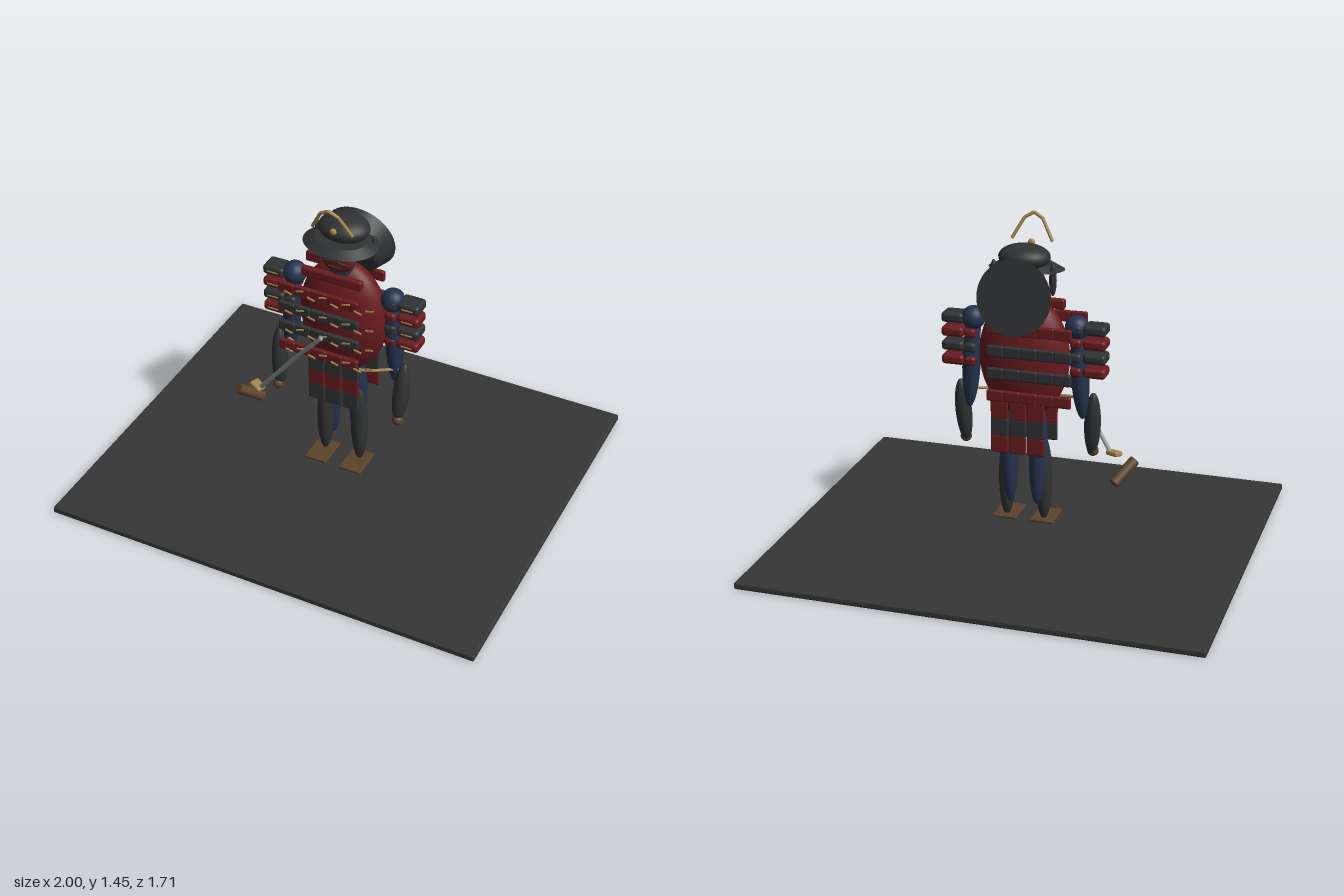
import * as THREE from 'three';
import { RoundedBoxGeometry } from 'three/addons/geometries/RoundedBoxGeometry.js';

const mat = (name, color, side = THREE.FrontSide) => {
  const m = new THREE.MeshStandardMaterial({ color, side });
  m.name = name;
  return m;
};
const V = (x, y, z) => new THREE.Vector3(x, y, z);

export function createModel() {
  const model = new THREE.Group();
  model.name = 'armouredWarrior';
  const stone = mat('stone', 0x363636);
  const iron = mat('darkIron', 0x303233);
  const red = mat('redLacquer', 0x6a1b1f);
  const navy = mat('navyCloth', 0x26334e);
  const gold = mat('gold', 0xa88a50);
  const brown = mat('brownLeather', 0x5c432a);
  const skin = mat('skin', 0xbd9a6c);
  const steel = mat('steel', 0x95979a);

  const add = (name, geo, m, x = 0, y = 0, z = 0) => {
    const mesh = new THREE.Mesh(geo, m);
    mesh.name = name;
    mesh.position.set(x, y, z);
    model.add(mesh);
    return mesh;
  };
  const ball = (name, m, x, y, z, rx, ry = rx, rz = rx) => {
    const mesh = add(name, new THREE.SphereGeometry(1, 32, 20), m, x, y, z);
    mesh.scale.set(rx, ry, rz);
    return mesh;
  };
  const plate = (name, m, w, h, d, x, y, z) =>
    add(name, new RoundedBoxGeometry(w, h, d, 3, Math.min(w, h, d) * 0.35), m, x, y, z);
  // Turns a mesh's own y axis along the line from a to b
  const align = (mesh, a, b) => {
    mesh.position.copy(a).add(b).multiplyScalar(0.5);
    mesh.quaternion.setFromUnitVectors(V(0, 1, 0), b.clone().sub(a).normalize());
    return mesh;
  };
  // Spindle-shaped limb between two tips
  const limb = (name, m, a, b, r) =>
    align(ball(name, m, 0, 0, 0, r, a.distanceTo(b) / 2, r), a, b);
  const rod = (name, m, a, b, r) =>
    align(add(name, new THREE.CylinderGeometry(r, r, a.distanceTo(b), 12), m), a, b);

  // Ground slab
  add('groundSlab', new RoundedBoxGeometry(2, 0.03, 1.71, 2, 0.008), stone, 0, 0.015, 0);

  // Legs and arms
  for (const s of [1, -1]) {
    plate('foot', brown, 0.105, 0.014, 0.15, s * 0.085, 0.093, 0.05);
    limb('shin', iron, V(s * 0.085, 0.09, 0.02), V(s * 0.08, 0.49, 0.02), 0.038);
    limb('thigh', navy, V(s * 0.06, 0.17, -0.01), V(s * 0.07, 0.66, 0), 0.04);
    ball('shoulder', navy, s * 0.23, 0.995, 0.01, 0.052);
    limb('upperArm', navy, V(s * 0.23, 1.02, 0.01), V(s * 0.255, 0.58, 0.02), 0.04);
    limb('forearm', iron, V(s * 0.3, 0.7, 0.03), V(s * 0.285, 0.4, 0.065), 0.036);
    ball('hand', brown, s * 0.29, 0.42, 0.07, 0.025);
    // Shoulder guard of four stacked plates
    for (let i = 0; i < 4; i++) {
      const y = 0.995 - i * 0.063;
      const m = i % 2 ? red : iron;
      plate('shoulderGuardPlate', m, 0.1, 0.045, 0.09, s * 0.315, y, 0.01);
      plate('shoulderGuardInner', m, 0.05, 0.042, 0.1, s * 0.235, y, 0.01);
      add('shoulderLacing', new THREE.BoxGeometry(0.05, 0.005, 0.006), gold, s * 0.315, y, 0.056);
    }
  }

  // Torso and neck
  ball('torso', red, 0, 0.85, 0.005, 0.2, 0.275, 0.108);
  limb('neck', navy, V(0, 1.02, 0.02), V(0, 1.2, 0.02), 0.055);
  plate('collarPlate', red, 0.28, 0.045, 0.03, -0.02, 1.07, 0.075);

  // Rows of armour plates, front and back
  [red, iron, iron, red].forEach((m, row) => {
    const y = 1.0 - row * 0.1;
    for (let i = 0; i < 5; i++) {
      const x = -0.205 + i * 0.074;
      plate('chestPlate', m, 0.076, 0.05, 0.022, x, y, 0.132);
      plate('backPlate', m, 0.076, 0.05, 0.022, x, y, -0.122);
    }
    // Lacing over each row
    for (let i = 0; i < 8; i++) {
      const lace = add('chestLacing', new THREE.BoxGeometry(0.036, 0.006, 0.006), gold,
        -0.19 + i * 0.054, y + 0.012 * (i % 2 ? 1 : -1), 0.15);
      lace.rotation.z = i % 2 ? 0.25 : -0.25;
    }
  });

  // Skirt panels
  for (let c = -1; c <= 1; c++) {
    for (let r = 0; r < 3; r++) {
      const y = 0.628 - r * 0.077;
      plate('frontSkirtPlate', r % 2 ? red : iron, 0.076, 0.082, 0.018, c * 0.081, y, 0.105);
      plate('backSkirtPlate', r % 2 ? iron : red, 0.076, 0.082, 0.018, c * 0.081, y, -0.096);
    }
  }

  // Waist cord
  const cord = new THREE.CatmullRomCurve3([
    V(-0.28, 0.672, 0.03), V(-0.14, 0.65, 0.09), V(0, 0.64, 0.092), V(0.14, 0.65, 0.09), V(0.28, 0.665, 0.03)]);
  add('waistCord', new THREE.TubeGeometry(cord, 32, 0.007, 8), gold);

  // Head and face mask
  ball('head', skin, 0, 1.19, 0.01, 0.07, 0.085, 0.058);
  ball('faceMask', red, 0, 1.163, 0.068, 0.075, 0.058, 0.024);
  for (const s of [1, -1]) {
    rod('maskWhisker', iron, V(s * 0.012, 1.168, 0.093), V(s * 0.06, 1.158, 0.086), 0.004);
    rod('maskBrow', iron, V(s * 0.015, 1.19, 0.09), V(s * 0.05, 1.198, 0.082), 0.004);
  }
  rod('maskMouth', iron, V(-0.03, 1.14, 0.09), V(0.03, 1.14, 0.09), 0.004);

  // Helmet: dome, sloping brim, ear guards and flared neck guard
  ball('helmetDome', iron, 0, 1.287, 0.003, 0.112, 0.054, 0.092);
  const brim = add('helmetBrim', new THREE.CylinderGeometry(0.7, 1, 0.026, 40), iron, 0, 1.242, 0.038);
  brim.scale.set(0.165, 1, 0.12);
  brim.rotation.x = 0.05;
  for (const s of [1, -1]) {
    limb('earGuard', iron, V(s * 0.13, 1.27, -0.015), V(s * 0.13, 1.13, -0.015), 0.016);
  }
  const guard = add('neckGuard', new THREE.CylinderGeometry(0.125, 0.162, 0.092, 48), iron, 0, 1.14, -0.105);
  guard.rotation.x = Math.PI / 2 + 0.2;

  // Helmet crest
  const crest = [V(-0.09, 1.33, 0.112), V(-0.04, 1.42, 0.137), V(0, 1.443, 0.144), V(0.04, 1.42, 0.137), V(0.09, 1.33, 0.112)];
  for (let i = 0; i < 4; i++) rod('crestBar', gold, crest[i], crest[i + 1], 0.0075);
  ball('crestBoss', gold, 0, 1.322, 0.105, 0.015, 0.015, 0.01);

  // Sword: curved blade, guard and grip
  const blade = new THREE.CatmullRomCurve3([
    V(0.04, 0.925, 0.3), V(-0.08, 0.775, 0.25), V(-0.21, 0.6, 0.185), V(-0.355, 0.405, 0.115)]);
  add('swordBlade', new THREE.TubeGeometry(blade, 24, 0.0095, 8), steel);
  ball('bladeTip', steel, 0.04, 0.925, 0.3, 0.0095);
  const tsuba = plate('swordGuard', gold, 0.065, 0.022, 0.045, -0.375, 0.402, 0.108);
  tsuba.rotation.set(0.15, -0.5, 0);
  rod('swordGrip', brown, V(-0.462, 0.37, 0.13), V(-0.394, 0.288, 0.04), 0.024);

  return model;
}
